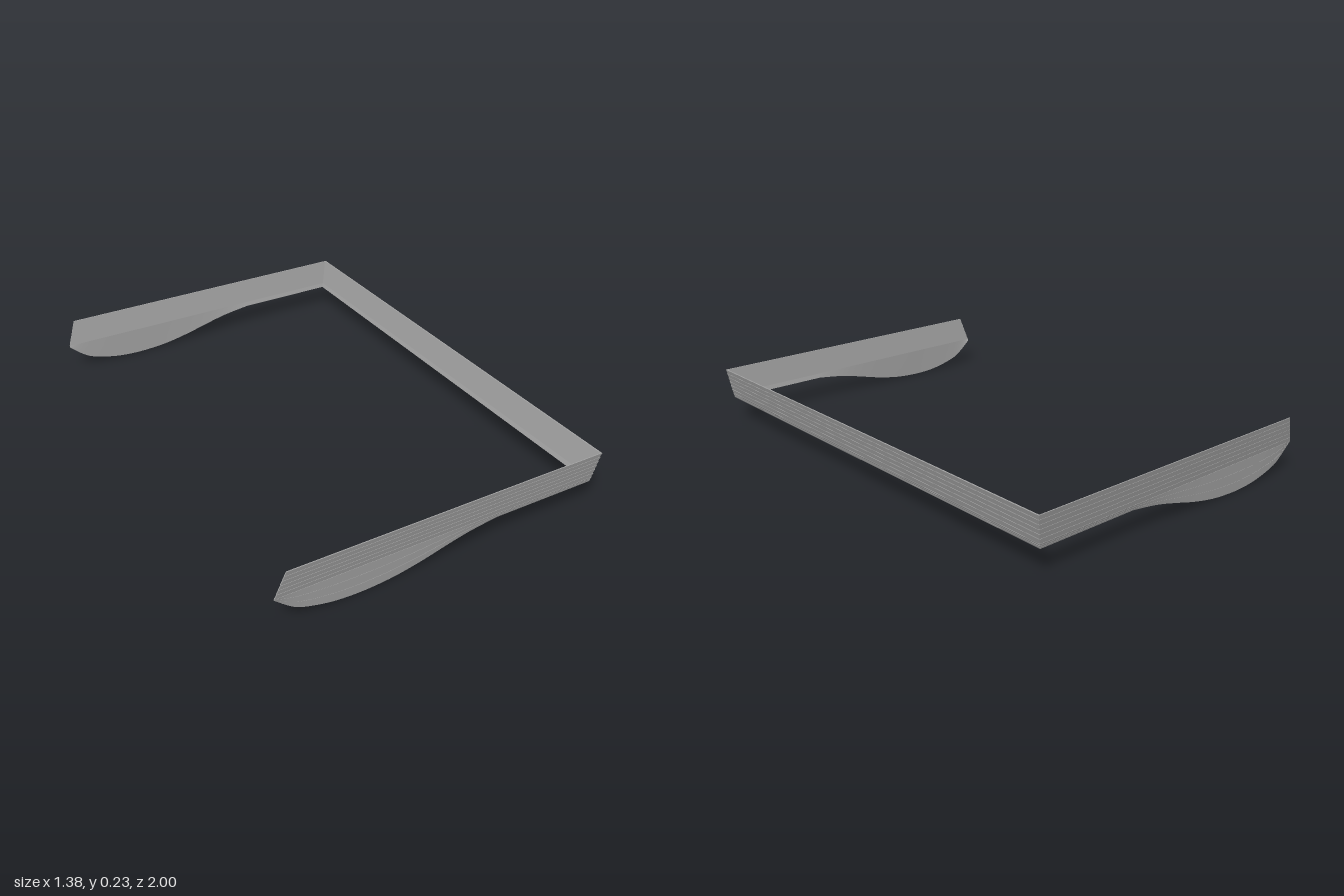
import * as THREE from 'three';

const TOP = 0.23, SEAM = 0.12, THICK = 0.006;
const HALF_X = 0.685, HALF_Z = 1, SIDE_LEAN = 0.7;

// Lower edge of the side rails: a deep belly near the free end, then a straight strip
const belly = new THREE.SplineCurve([
  [-0.69, 0.112], [-0.63, 0.062], [-0.58, 0.036], [-0.48, 0.011], [-0.38, 0.002], [-0.28, 0.005],
  [-0.2, 0.014], [-0.1, 0.034], [0, 0.06], [0.1, 0.083], [0.22, 0.1],
].map(([x, y]) => new THREE.Vector2(x, y))).getPoints(40);

// Lapped-strip profile: inward offset o, height y; six upper strips and three lower bands
function profile(bottom) {
  const outer = [];
  for (let k = 0; k < 6; k++) {
    const h = (TOP - SEAM) / 6, y = TOP - k * h, o = 0.0032 * k;
    outer.push({ o, y }, { o: o + 0.0055, y: y - h });
  }
  for (let k = 0; k < 3; k++) {
    const h = (SEAM - bottom) / 3, y = SEAM - k * h, o = 0.0195 + 0.0015 * k;
    outer.push({ o, y }, { o: o + 0.003, y: y - h });
  }
  const inner = outer.map(({ o, y }) => ({ o: o + THICK, y })).reverse();
  return [...outer, ...inner];
}

// Section at the free end of a rail or along it
function sideSection(x, bottom, sign) {
  return profile(bottom).map(({ o, y }) => {
    const rake = x < -0.68 ? Math.max(0, y - SEAM) / (TOP - SEAM) * 0.037 : 0;
    // keep the raked end from crossing the following sections
    const px = Math.max(x + rake, -0.69 + Math.max(0, y - SEAM) / (TOP - SEAM) * 0.037);
    return [px, y, sign * (HALF_Z - o * SIDE_LEAN)];
  });
}

// Mitred corner section
function cornerSection(sign) {
  return profile(0.1).map(({ o, y }) => [HALF_X - o, y, sign * (HALF_Z - o * SIDE_LEAN)]);
}

// Skin a list of sections: smooth along the rail, sharp between strips
function skin(name, sections, material, capStart, capEnd) {
  const pos = [], index = [];
  const n = sections[0].length, m = sections.length;
  for (let j = 0; j < n; j++) {
    const base = pos.length / 3;
    for (const s of sections) pos.push(...s[j], ...s[(j + 1) % n]);
    for (let i = 0; i < m - 1; i++) {
      const a = base + i * 2, c = a + 1, b = a + 2, d = a + 3;
      index.push(a, c, b, b, c, d);
    }
  }
  const cap = (s, flip) => {
    for (let j = 0; j < n / 2 - 1; j++) {
      const q = pos.length / 3;
      pos.push(...s[j], ...s[n - 1 - j], ...s[n - 2 - j], ...s[j + 1]);
      index.push(...(flip ? [q, q + 2, q + 1, q, q + 3, q + 2] : [q, q + 1, q + 2, q, q + 2, q + 3]));
    }
  };
  if (capStart) cap(sections[0], false);
  if (capEnd) cap(sections[m - 1], true);
  const geometry = new THREE.BufferGeometry();
  geometry.setAttribute('position', new THREE.Float32BufferAttribute(pos, 3));
  geometry.setIndex(index);
  geometry.computeVertexNormals();
  const mesh = new THREE.Mesh(geometry, material);
  mesh.name = name;
  return mesh;
}

export function createModel() {
  const group = new THREE.Group();
  group.name = 'lappedRailFrame';
  const grey = new THREE.MeshStandardMaterial({ color: 0xa0a0a0, side: THREE.DoubleSide });
  grey.name = 'grey';

  // Side rails with bellied fins, joined by a cross rail
  const side = (sign) => [...belly.map((p) => sideSection(p.x, p.y, sign)), cornerSection(sign)];
  group.add(skin('frontRail', side(1), grey, true, false));
  group.add(skin('crossRail', [cornerSection(1), cornerSection(-1)], grey, false, false));
  group.add(skin('backRail', side(-1).reverse(), grey, false, true));
  return group;
}
